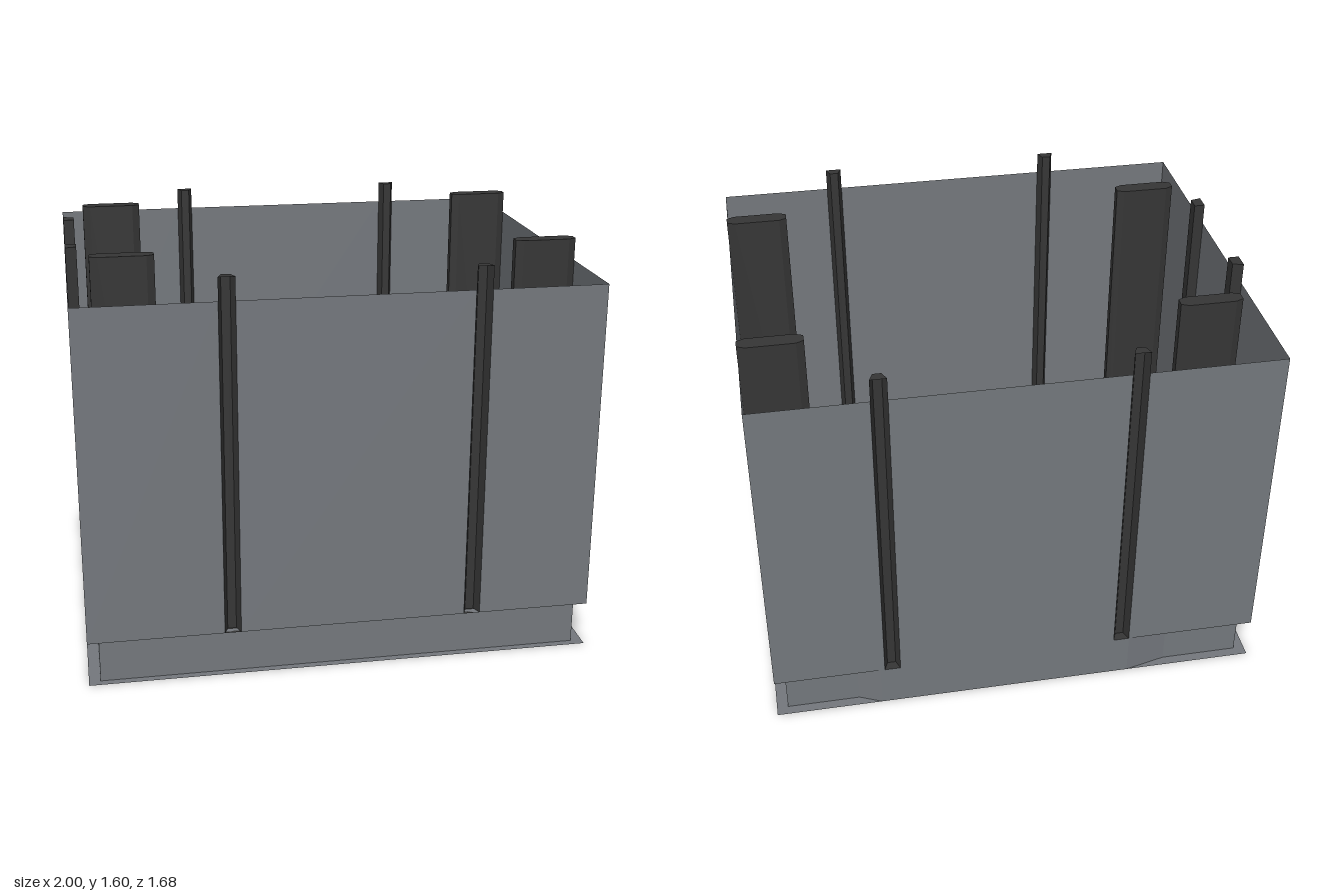
import * as THREE from 'three';

const W = 1, D = 0.84;          // outer half width and half depth
const LEDGE = 0.18, WALL_TOP = 1.51, POST_TOP = 1.6;

export function createModel() {
  const model = new THREE.Group();
  model.name = 'openShaft';
  const gray = new THREE.MeshStandardMaterial({ color: 0x74787d, side: THREE.DoubleSide });
  gray.name = 'sheetGray';
  const dark = new THREE.MeshStandardMaterial({ color: 0x363636, side: THREE.DoubleSide });
  dark.name = 'steelDark';

  const add = (name, geometry, material) => {
    const mesh = new THREE.Mesh(geometry, material);
    mesh.name = name;
    model.add(mesh);
    return mesh;
  };
  const toVec = (pts) => pts.map(([x, z]) => new THREE.Vector2(x, z));

  // Vertical sheet following a plan outline of [x, z] points
  const sheet = (name, pts, y0, y1, material) => {
    const pos = [];
    for (let i = 0; i < pts.length - 1; i++) {
      const [ax, az] = pts[i], [bx, bz] = pts[i + 1];
      pos.push(ax, y0, az, bx, y0, bz, bx, y1, bz, ax, y0, az, bx, y1, bz, ax, y1, az);
    }
    const g = new THREE.BufferGeometry();
    g.setAttribute('position', new THREE.Float32BufferAttribute(pos, 3));
    g.computeVertexNormals();
    return add(name, g, material);
  };
  // Horizontal plate from a plan outline, optionally with a hole
  const plate = (name, pts, y, material, hole) => {
    const shape = new THREE.Shape(toVec(pts));
    if (hole) shape.holes.push(new THREE.Path(toVec(hole)));
    const g = new THREE.ShapeGeometry(shape).rotateX(Math.PI / 2).translate(0, y, 0);
    return add(name, g, material);
  };
  const box = (name, x0, x1, y0, y1, z0, z1) =>
    add(name, new THREE.BoxGeometry(x1 - x0, y1 - y0, z1 - z0)
      .translate((x0 + x1) / 2, (y0 + y1) / 2, (z0 + z1) / 2), dark);
  // Upright channel with caps, open between its last and first points
  const channel = (name, pts, y0, closed) => {
    sheet(name, closed ? [...pts, pts[0]] : pts, y0, POST_TOP, dark);
    plate(name + 'TopCap', pts, POST_TOP, dark);
    plate(name + 'BottomCap', pts, y0, dark);
  };

  // Upper walls; front and back are interrupted by the post channels
  const postX = [-0.437, 0.52], half = 0.032;
  const edges = [-W, ...postX.flatMap((x) => [x - half, x + half]), W];
  for (const [name, z] of [['front', D], ['back', -D]]) {
    for (let i = 0; i < edges.length; i += 2) {
      sheet(name + 'Wall', [[edges[i], z], [edges[i + 1], z]], LEDGE, WALL_TOP, gray);
    }
    const inner = z - Math.sign(z) * 0.038;
    for (const x of postX) {
      channel(name + 'Post',
        [[x - half, z], [x - 0.017, inner], [x + 0.017, inner], [x + half, z]], LEDGE, false);
    }
  }
  for (const x of [-W, W]) sheet('sideWall', [[x, -D], [x, D]], LEDGE, WALL_TOP, gray);

  // Recessed skirt, bulging out flush at the back and on one side
  const skirt = [
    [-0.955, 0.81], [0.955, 0.81], [0.955, -0.8], [0.66, -0.8], [0.57, -D], [-0.47, -D],
    [-0.64, -0.8], [-0.955, -0.8], [-0.955, -0.39], [-W, -0.29], [-W, 0.29], [-0.955, 0.43],
  ];
  sheet('skirt', [...skirt, skirt[0]], 0, LEDGE, gray);
  const rim = [[-W, -D], [W, -D], [W, D], [-W, D]];
  const hole = skirt.map(([x, z]) => [
    THREE.MathUtils.clamp(x, -0.9995, 0.9995), THREE.MathUtils.clamp(z, -0.8395, 0.8395)]);
  plate('baseFlange', rim, 0, gray, hole);
  plate('wallLedge', rim, LEDGE, gray, hole);

  // Wide columns with chamfered ends; the right pair opens through the wall
  for (const z of [-0.522, 0.438]) {
    for (const [x0, x1, closed] of [[-0.912, -0.667, true], [0.755, W, false]]) {
      channel('column', [
        [x1, z + 0.018], [x1 - 0.03, z + 0.032], [x0 + 0.03, z + 0.032], [x0, z + 0.018],
        [x0, z - 0.018], [x0 + 0.03, z - 0.032], [x1 - 0.03, z - 0.032], [x1, z - 0.018],
      ], 0.09, closed);
    }
  }

  // Small posts just inside the left wall
  for (const s of [-1, 1]) {
    channel('sidePost',
      [[-0.998, s * 0.29], [-0.955, s * 0.28], [-0.955, s * 0.225], [-0.998, s * 0.225]], 0.09, true);
  }

  // Floor beams running front to back
  for (const [x0, x1] of [[-0.892, -0.693], [0.777, 0.952]]) {
    const mid = (x0 + x1) / 2;
    box('beamBottomFlange', x0, x1, 0.004, 0.025, -0.798, 0.806);
    box('beamWeb', mid - 0.012, mid + 0.012, 0.025, 0.165, -0.798, 0.806);
    box('beamTopFlange', x0, x1, 0.165, 0.186, -0.798, 0.806);
  }
  return model;
}
